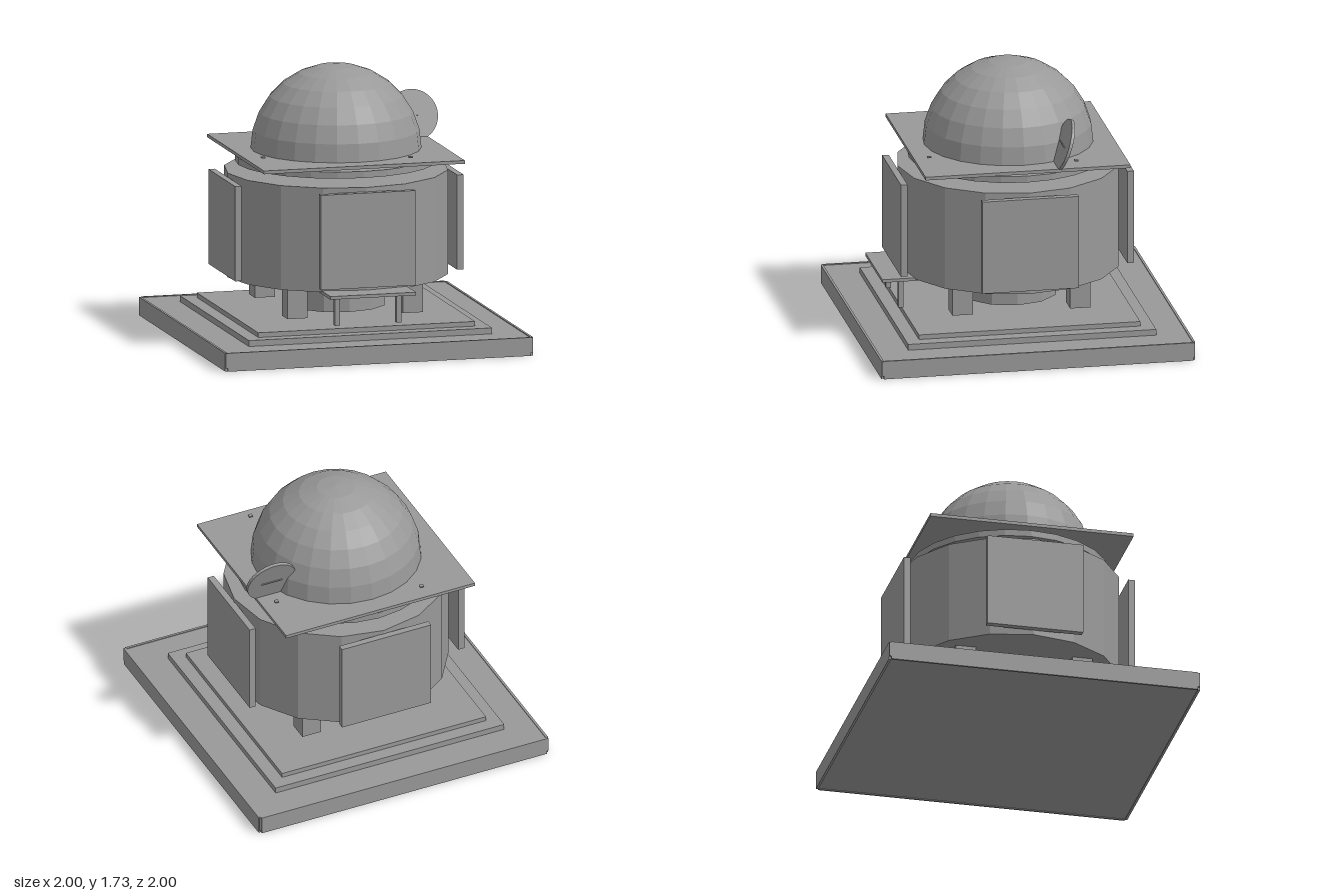
import * as THREE from 'three';

export function createModel() {
  const model = new THREE.Group();
  model.name = 'domedPavilion';
  const grey = new THREE.MeshStandardMaterial({ color: 0x999999, flatShading: true });
  grey.name = 'stone grey';

  const add = (name, geometry, x = 0, y = 0, z = 0, parent = model) => {
    const mesh = new THREE.Mesh(geometry, grey);
    mesh.name = name;
    mesh.position.set(x, y, z);
    parent.add(mesh);
    return mesh;
  };
  // Box given by its width, depth and its bottom and top heights
  const slab = (name, w, d, y0, y1, x = 0, z = 0, parent = model) =>
    add(name, new THREE.BoxGeometry(w, y1 - y0, d), x, (y0 + y1) / 2, z, parent);
  // Upright faceted cylinder between two heights
  const drum = (name, r, y0, y1, sides) =>
    add(name, new THREE.CylinderGeometry(r, r, y1 - y0, sides), 0, (y0 + y1) / 2, 0);

  // Stepped base
  slab('base', 1.97, 1.97, 0.005, 0.112);
  slab('lowerStep', 1.58, 1.58, 0.112, 0.15);
  slab('upperStep', 1.41, 1.41, 0.15, 0.18);

  // Parts repeated on all four sides
  for (let i = 0; i < 4; i++) {
    const side = new THREE.Group();
    side.name = 'side' + (i + 1);
    side.rotation.y = i * Math.PI / 2;
    model.add(side);
    slab('baseRim', 1.97, 0.015, 0, 0.117, 0, 0.9925, side);
    slab('rimCorner', 0.012, 0.012, 0.02, 0.115, 0.991, 0.991, side);
    slab('wallPanel', 0.615, 0.042, 0.437, 1.04, 0, 0.721, side);
    slab('supportLeg', 0.13, 0.13, 0.205, 0.405, 0.375, 0.375, side);
    slab('roofStud', 0.025, 0.025, 1.216, 1.223, 0.325, 0.565, side);
  }

  // Body, neck and roof
  drum('centreColumn', 0.312, 0.205, 0.405, 12);
  drum('body', 0.704, 0.405, 1.068, 16);
  drum('neck', 0.378, 1.068, 1.178, 16);
  drum('roofDisc', 0.632, 1.115, 1.157, 24);
  slab('roofPlate', 1.305, 1.305, 1.176, 1.197);
  add('dome', new THREE.SphereGeometry(0.535, 24, 7, 0, Math.PI * 2, 0, Math.PI / 2), 0, 1.193, 0);

  // Bench at the front
  slab('benchTop', 0.555, 0.265, 0.395, 0.415, 0, 0.722);
  for (const x of [-0.2, 0.2]) slab('benchLeg', 0.032, 0.032, 0.205, 0.395, x, 0.725);

  // Tilted dish beside the dome
  const dish = new THREE.Group();
  dish.name = 'dish';
  dish.position.set(0.565, 1.327, -0.247);
  dish.rotation.x = Math.PI / 2 - 0.32;
  model.add(dish);
  add('dishPlate', new THREE.CylinderGeometry(0.165, 0.165, 0.02, 32), 0, 0, 0, dish);
  add('dishBar', new THREE.BoxGeometry(0.14, 0.03, 0.008), 0, 0, 0, dish);

  return model;
}
